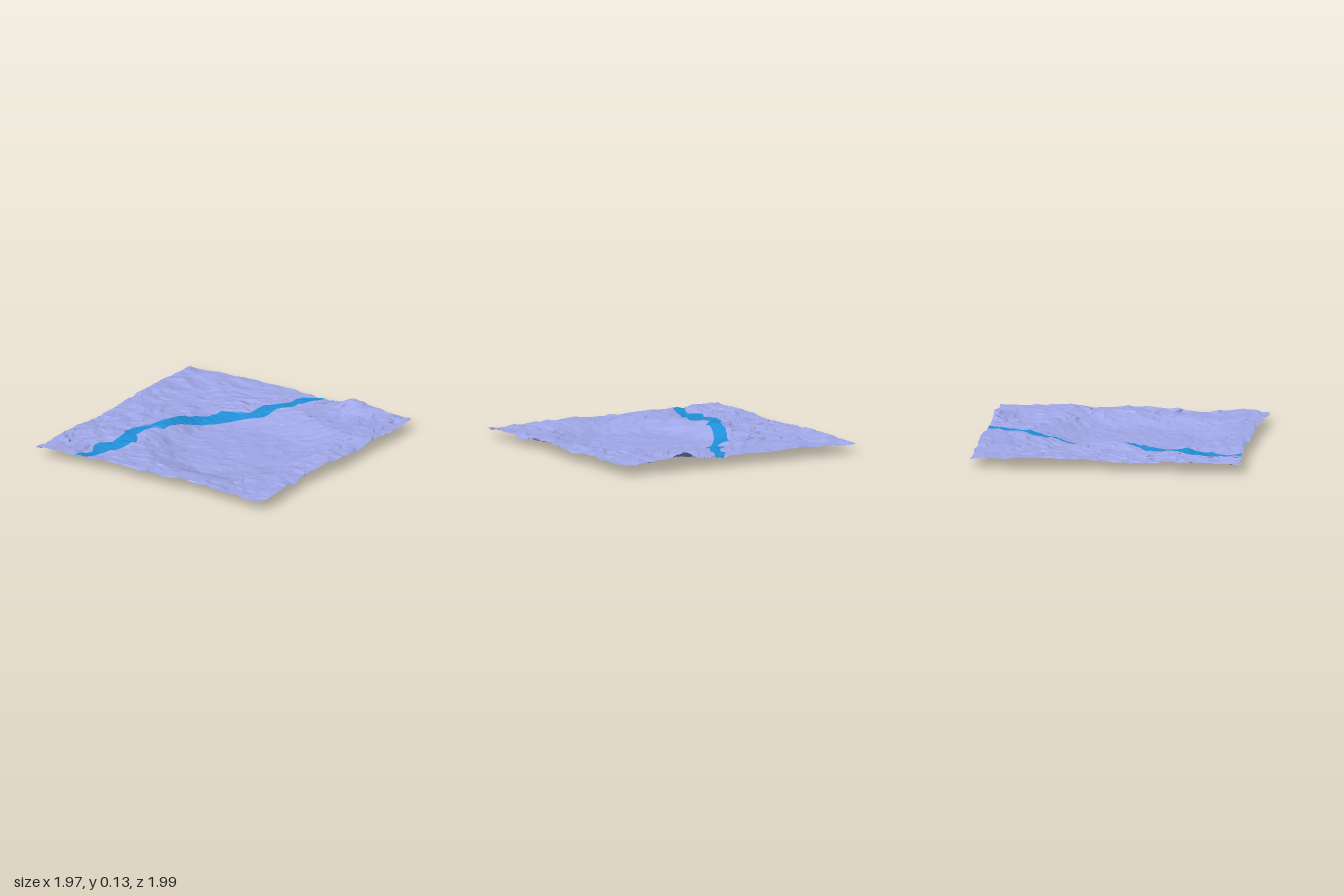
import * as THREE from 'three';

const ROWS = 50, LEFT = 17, RIVER = 2, RIGHT = 31;
const COLS = LEFT + RIVER + RIGHT;

// river banks: z, left x, right x
const BANKS = [
  [-1, 0.13, 0.20], [-0.88, 0.03, 0.13], [-0.8, 0.04, 0.10], [-0.7, -0.02, 0.08],
  [-0.64, -0.10, 0.02], [-0.48, -0.12, -0.01], [-0.38, -0.29, -0.12], [-0.25, -0.33, -0.21],
  [-0.1, -0.42, -0.31], [0, -0.44, -0.36], [0.1, -0.48, -0.40], [0.2, -0.54, -0.42],
  [0.26, -0.60, -0.50], [0.4, -0.63, -0.53], [0.45, -0.60, -0.48], [0.52, -0.60, -0.46],
  [0.6, -0.61, -0.47], [0.66, -0.67, -0.49], [0.75, -0.68, -0.52], [0.83, -0.63, -0.56], [1, -0.69, -0.60],
];

function banksAt(z) {
  let i = 0;
  while (i < BANKS.length - 2 && BANKS[i + 1][0] < z) i++;
  const a = BANKS[i], b = BANKS[i + 1];
  const t = THREE.MathUtils.clamp((z - a[0]) / (b[0] - a[0]), 0, 1);
  return [a[1] + (b[1] - a[1]) * t, a[2] + (b[2] - a[2]) * t];
}

// repeatable value in -1..1 for a lattice point
function hash(i, j, seed) {
  const s = Math.sin(i * 127.1 + j * 311.7 + seed * 74.7) * 43758.5453;
  return (s - Math.floor(s)) * 2 - 1;
}

// smooth value noise
function noise(x, z, seed) {
  const i = Math.floor(x), j = Math.floor(z);
  const u = THREE.MathUtils.smoothstep(x - i, 0, 1), v = THREE.MathUtils.smoothstep(z - j, 0, 1);
  const a = THREE.MathUtils.lerp(hash(i, j, seed), hash(i + 1, j, seed), u);
  const b = THREE.MathUtils.lerp(hash(i, j + 1, seed), hash(i + 1, j + 1, seed), u);
  return THREE.MathUtils.lerp(a, b, v);
}

const bump = (x, z, cx, cz, rx, rz) => Math.exp(-(((x - cx) / rx) ** 2) - ((z - cz) / rz) ** 2);

// 1 inside the shallow valley, 0 outside
function valley(x, z) {
  const r = Math.hypot((x - 0.17) / 0.62, (z - 0.1) / 0.75);
  return 1 - THREE.MathUtils.smoothstep(r, 0.55, 1.1);
}

function height(x, z) {
  const v = valley(x, z);
  let y = 0.088 - 0.058 * v;
  y += 0.035 * bump(x, z, -0.44, 0.02, 0.1, 0.22);   // rise under the river
  y += 0.05 * bump(x, z, 0.5, -0.98, 0.13, 0.14);    // back peak
  y += 0.015 * bump(x, z, 0.85, -0.3, 0.15, 0.5);    // right shoulder
  y += 0.012 * bump(x, z, -0.95, -0.5, 0.15, 0.4);   // left shoulder
  y -= 0.02 * bump(x, z, 0.2, 0.62, 0.3, 0.1);       // trough before the front rim
  y -= 0.015 * bump(x, z, -0.62, 0.85, 0.12, 0.3);   // low river mouth
  const rough = 1 - 0.5 * v;
  // ridged noise gives sharp creases
  y += rough * (0.013 * noise(x * 4, z * 4, 1) + 0.014 * (0.4 - Math.abs(noise(x * 8, z * 8, 2))));
  return y + rough * 0.007 * noise(x * 19, z * 19, 3);
}

// grid point: columns follow the river, then are pushed about to crumple the sheet
function point(r, c) {
  let z = -1 + 2 * r / ROWS;
  const [a, b] = banksAt(z);
  const minX = -0.98 + 0.012 * noise(z * 9, 0, 7);
  const maxX = 0.965 - 0.03 * bump(0, z, 0, 0.4, 1, 0.3) + 0.015 * noise(z * 9, 0, 8);
  let x;
  if (c <= LEFT) x = minX + (a - minX) * c / LEFT;
  else if (c <= LEFT + RIVER) x = a + (b - a) * (c - LEFT) / RIVER;
  else x = b + (maxX - b) * (c - LEFT - RIVER) / RIGHT;

  const bank = c >= LEFT && c <= LEFT + RIVER;
  const edgeX = c === 0 || c === COLS, edgeZ = r === 0 || r === ROWS;
  const rough = 1 - 0.4 * valley(x, z);
  const y = height(x, z) + 0.004 * rough * hash(r, c, 4);
  if (!bank && !edgeX) x += rough * (0.012 * hash(r, c, 5) + 0.022 * noise(x * 9, z * 9, 9));
  if (r === ROWS) z = 0.96 + 0.03 * Math.abs(x) ** 3 + 0.012 * noise(x * 9, 3, 11);
  else if (r === 0) z = -0.975 + 0.018 * noise(x * 9, 5, 12);
  else if (!edgeZ) z = z * 0.965 + (bank ? 0.4 : 1) * rough * (0.012 * hash(r, c, 6) + 0.018 * noise(x * 9, z * 9, 10));
  return [x, y, z];
}

function sheet(name, color, positions) {
  const geometry = new THREE.BufferGeometry();
  geometry.setAttribute('position', new THREE.Float32BufferAttribute(positions, 3));
  geometry.computeVertexNormals();
  const material = new THREE.MeshStandardMaterial({ color, flatShading: true, side: THREE.DoubleSide });
  const mesh = new THREE.Mesh(geometry, material);
  mesh.name = name;
  return mesh;
}

export function createModel() {
  const grid = [];
  let low = Infinity;
  for (let r = 0; r <= ROWS; r++) {
    grid.push([]);
    for (let c = 0; c <= COLS; c++) {
      const p = point(r, c);
      low = Math.min(low, p[1]);
      grid[r].push(p);
    }
  }

  // split the cells between ground and river, with mixed diagonals
  const ground = [], river = [];
  for (let r = 0; r < ROWS; r++) {
    for (let c = 0; c < COLS; c++) {
      const target = c >= LEFT && c < LEFT + RIVER ? river : ground;
      const a = grid[r][c], b = grid[r + 1][c], d = grid[r + 1][c + 1], e = grid[r][c + 1];
      const tris = hash(r, c, 13) > 0 ? [a, b, d, a, d, e] : [a, b, e, b, d, e];
      for (const p of tris) target.push(...p);
    }
  }

  const model = new THREE.Group();
  model.name = 'terrain';
  model.add(sheet('ground', 0xa0a8e8, ground), sheet('river', 0x2090d8, river));
  // rest the lowest point on the floor
  for (const mesh of model.children) mesh.geometry.translate(0, -low, 0);
  return model;
}
